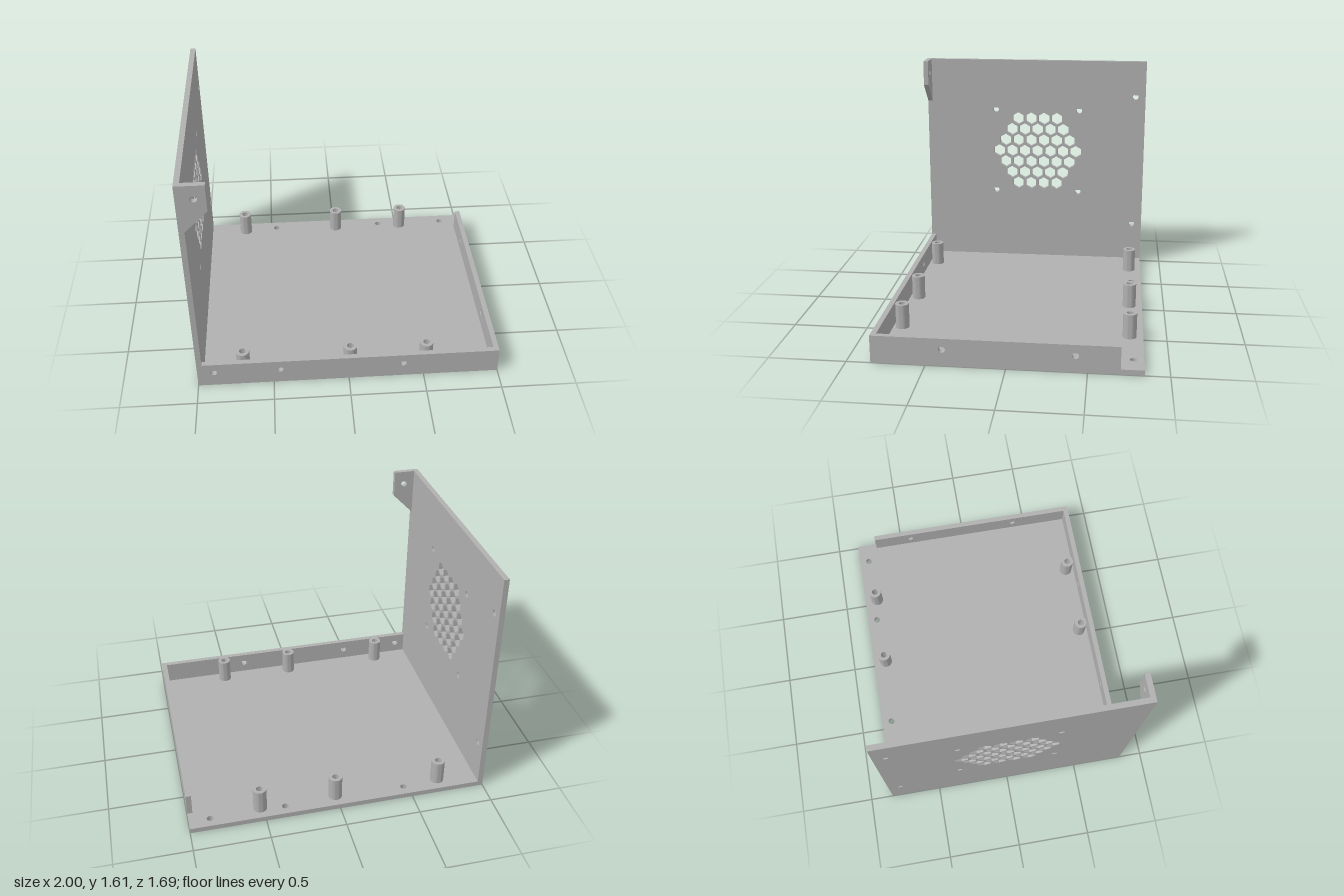
import * as THREE from 'three';
import { toCreasedNormals } from 'three/addons/utils/BufferGeometryUtils.js';

const T = 0.035;      // sheet thickness
const D = 0.845;      // half depth
const H = 1.612;      // side panel height
const RIM = 0.183;    // rim height
const HOLE = 0.022;   // screw hole radius

const outline = (pts) => new THREE.Shape(pts.map(([x, y]) => new THREE.Vector2(x, y)));
const rect = (x0, y0, x1, y1) => outline([[x0, y0], [x1, y0], [x1, y1], [x0, y1]]);

function roundHole(x, y) {
  const p = new THREE.Path();
  p.absarc(x, y, HOLE, 0, Math.PI * 2, true);
  return p;
}

// Round hole with a 45 degree peak on top
function teardropHole(x, y) {
  const p = new THREE.Path();
  p.moveTo(x, y + HOLE * Math.SQRT2);
  p.absarc(x, y, HOLE, Math.PI * 0.75, Math.PI * 0.25, false);
  p.closePath();
  return p;
}

function hexHole(x, y, r) {
  const pts = [];
  for (let i = 0; i < 6; i++) {
    const a = Math.PI / 2 - i * Math.PI / 3;
    pts.push(new THREE.Vector2(x + r * Math.cos(a), y + r * Math.sin(a)));
  }
  return new THREE.Path(pts);
}

export function createModel() {
  const group = new THREE.Group();
  const grey = new THREE.MeshStandardMaterial({ color: 0xb0b0b0 });
  grey.name = 'grey';

  const add = (name, geometry) => {
    const mesh = new THREE.Mesh(geometry, grey);
    mesh.name = name;
    group.add(mesh);
    return mesh;
  };
  const plate = (shape, holes) => {
    shape.holes.push(...holes);
    return new THREE.ExtrudeGeometry(shape, { depth: T, bevelEnabled: false, curveSegments: 20 });
  };

  // Floor with three holes along the back edge
  const floor = plate(rect(-1, -D, 1, D), [-0.457, 0.36, 0.86].map((x) => roundHole(x, 0.777)));
  add('floor', floor.rotateX(-Math.PI / 2));

  // Tall side panel (drawn with shape x = -z): screw holes and vent grille
  const sideHoles = [
    [-0.31, 1.225], [0.34, 1.225], [-0.31, 0.575], [0.34, 0.575], [0.77, 1.34], [0.77, 0.322],
  ].map(([u, y]) => teardropHole(u, y));
  for (let row = -3; row <= 3; row++) {
    const count = 7 - Math.abs(row);
    for (let i = 0; i < count; i++) {
      sideHoles.push(hexHole(0.016 + (i - (count - 1) / 2) * 0.1, 0.898 + row * 0.0866, 0.0475));
    }
  }
  add('ventPanel', plate(rect(-D, T, D, H), sideHoles).rotateY(Math.PI / 2).translate(-1, 0, 0));

  // Front rim
  const frontHoles = [-0.893, -0.457, 0.36].map((x) => teardropHole(x, 0.112));
  add('frontRim', plate(rect(-1 + T, T, 1, RIM), frontHoles).translate(0, 0, D - T));

  // Mounting tab at the upper front corner of the side panel
  const tab = outline([[-1 + T, 1.285], [-0.82, 1.43], [-0.82, H], [-1 + T, H]]);
  add('mountingTab', plate(tab, [teardropHole(-0.893, 1.52)]).translate(0, 0, D - T));

  // Low side rim, stopping short of the back
  const rimHoles = [-0.395, 0.425].map((u) => teardropHole(u, 0.112));
  add('sideRim', plate(rect(-D + T, T, 0.7, RIM), rimHoles).rotateY(Math.PI / 2).translate(1 - T, 0, 0));

  // Hollow standoffs
  const profile = [[0.045, T], [0.045, 0.202], [HOLE, 0.202], [HOLE, T]]
    .map(([r, y]) => new THREE.Vector2(r, y));
  const standoff = toCreasedNormals(new THREE.LatheGeometry(profile, 32), 0.6);
  for (const z of [-0.755, 0.748]) {
    for (const x of [-0.7, 0.015, 0.525]) add('standoff', standoff).position.set(x, 0, z);
  }
  return group;
}
